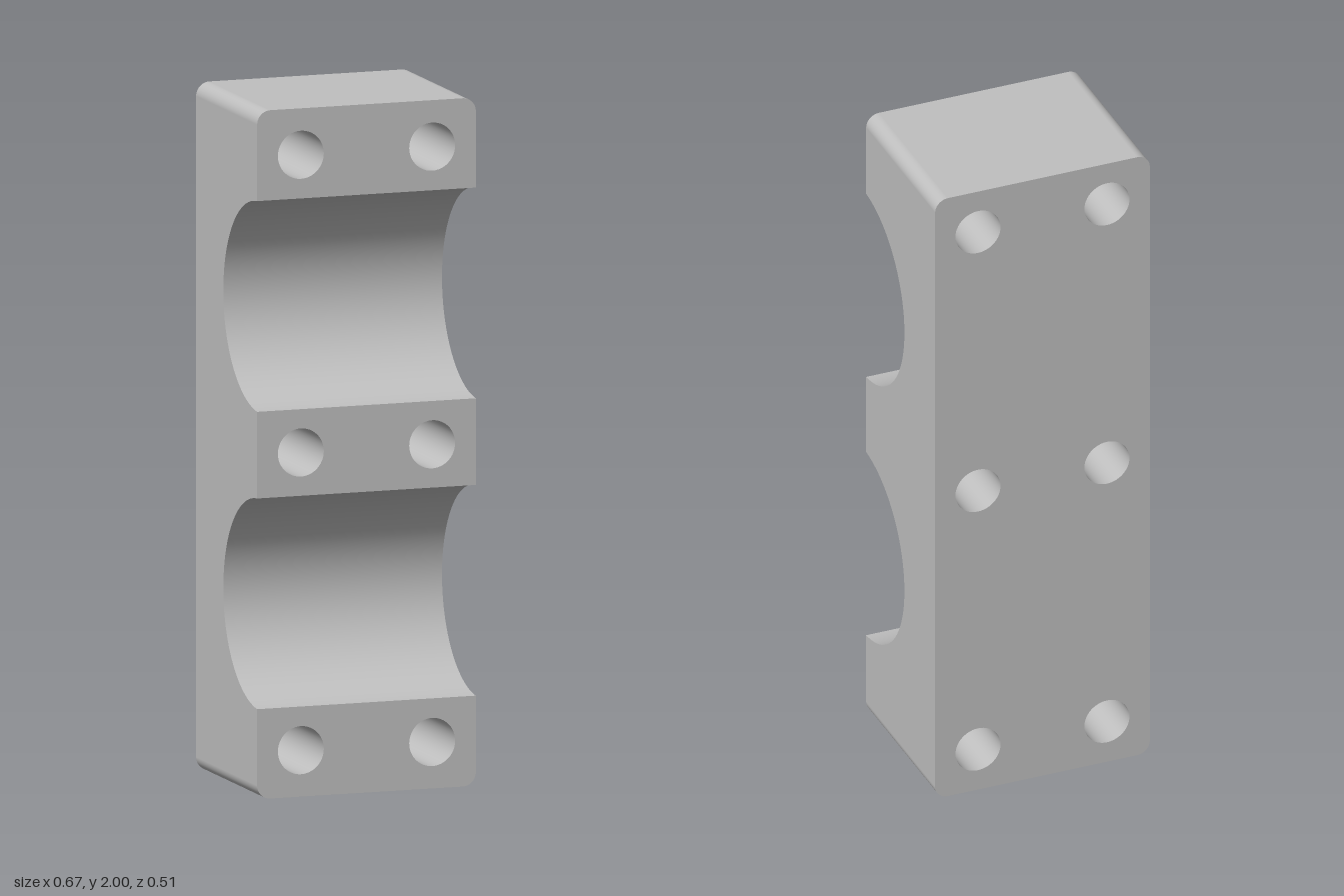
import * as THREE from 'three';

const W = 0.333, D = 0.256, H = 2;              // half width, half depth, height
const R = 0.04;                                 // corner rounding
const BORE = 0.07, BORE_X = 0.2, BORE_Y = [0.135, 1, 1.865];
const GROOVE_Y = [0.568, 1.432], GR = 0.307, GZ = 0.279;
const GA = Math.acos((GZ - D) / GR);            // half angle of the groove arc
const GH = GR * Math.sin(GA);                   // half height of the groove mouth
const SEG = 48;

// Turns a surface to face the other way
function flip(geometry) {
  const index = geometry.index, normal = geometry.attributes.normal;
  for (let i = 0; i < index.count; i += 3) {
    const a = index.getX(i);
    index.setX(i, index.getX(i + 1));
    index.setX(i + 1, a);
  }
  for (let i = 0; i < normal.count; i++) {
    normal.setXYZ(i, -normal.getX(i), -normal.getY(i), -normal.getZ(i));
  }
  return geometry;
}

// Flat panel in the xy plane with rounded ends and drilled holes
function panel(y0, y1, r0, r1, holeYs) {
  const s = new THREE.Shape();
  const corner = (x, y, r, a) => {
    if (r > 0) s.absarc(x, y, r, a, a + Math.PI / 2, false);
    else s.lineTo(x, y);
  };
  s.moveTo(-W + r0, y0);
  s.lineTo(W - r0, y0);
  corner(W - r0, y0 + r0, r0, -Math.PI / 2);
  s.lineTo(W, y1 - r1);
  corner(W - r1, y1 - r1, r1, 0);
  s.lineTo(-W + r1, y1);
  corner(-W + r1, y1 - r1, r1, Math.PI / 2);
  s.lineTo(-W, y0 + r0);
  corner(-W + r0, y0 + r0, r0, Math.PI);
  for (const y of holeYs) for (const x of [-BORE_X, BORE_X]) {
    s.holes.push(new THREE.Path().absarc(x, y, BORE, 0, Math.PI * 2, true));
  }
  return new THREE.ShapeGeometry(s, SEG / 2);
}

// Side profile with two circular notches, facing -x
function sideProfile() {
  const s = new THREE.Shape();
  s.moveTo(-D, R);
  s.lineTo(D, R);
  for (const y of GROOVE_Y) {
    s.lineTo(D, y - GH);
    s.absarc(GZ, y, GR, Math.PI + GA, Math.PI - GA, true);
  }
  s.lineTo(D, H - R);
  s.lineTo(-D, H - R);
  return new THREE.ShapeGeometry(s, SEG / 2).rotateY(-Math.PI / 2);
}

// Open cylinder wall running along z
const wallZ = (r, start, length) =>
  new THREE.CylinderGeometry(r, r, D * 2, SEG, 1, true, start, length).rotateX(Math.PI / 2);

export function createModel() {
  const group = new THREE.Group();
  const grey = new THREE.MeshStandardMaterial({ color: 0xbfbfbf });
  grey.name = 'grey';
  const add = (name, geometry, x = 0, y = 0, z = 0) => {
    const mesh = new THREE.Mesh(geometry, grey);
    mesh.name = name;
    mesh.position.set(x, y, z);
    group.add(mesh);
  };

  // Front lands between the grooves, and the back face
  const [g0, g1] = GROOVE_Y;
  add('lowerLand', panel(0, g0 - GH, R, 0, [BORE_Y[0]]), 0, 0, D);
  add('middleLand', panel(g0 + GH, g1 - GH, 0, 0, [BORE_Y[1]]), 0, 0, D);
  add('upperLand', panel(g1 + GH, H, 0, R, [BORE_Y[2]]), 0, 0, D);
  add('backFace', flip(panel(0, H, R, R, BORE_Y)), 0, 0, -D);

  // Sides, top and bottom
  add('rightSide', sideProfile(), -W);
  add('leftSide', flip(sideProfile()), W);
  const cap = () => new THREE.PlaneGeometry(2 * (W - R), 2 * D);
  add('topFace', cap().rotateX(-Math.PI / 2), 0, H);
  add('bottomFace', cap().rotateX(Math.PI / 2), 0, 0);

  // Rounded long corners
  const corners = [[1, R], [1, H - R], [-1, H - R], [-1, R]];
  corners.forEach(([side, y], i) => {
    add('roundedCorner', wallZ(R, i * Math.PI / 2, Math.PI / 2), side * (W - R), y);
  });

  // Pipe grooves
  for (const y of GROOVE_Y) {
    const groove = new THREE.CylinderGeometry(GR, GR, W * 2, SEG, 1, true, Math.PI - GA, GA * 2);
    add('pipeGroove', flip(groove.rotateZ(Math.PI / 2)), 0, y, GZ);
  }

  // Bolt holes
  for (const y of BORE_Y) for (const x of [-BORE_X, BORE_X]) {
    add('boltHole', flip(wallZ(BORE, 0, Math.PI * 2)), x, y);
  }
  return group;
}
